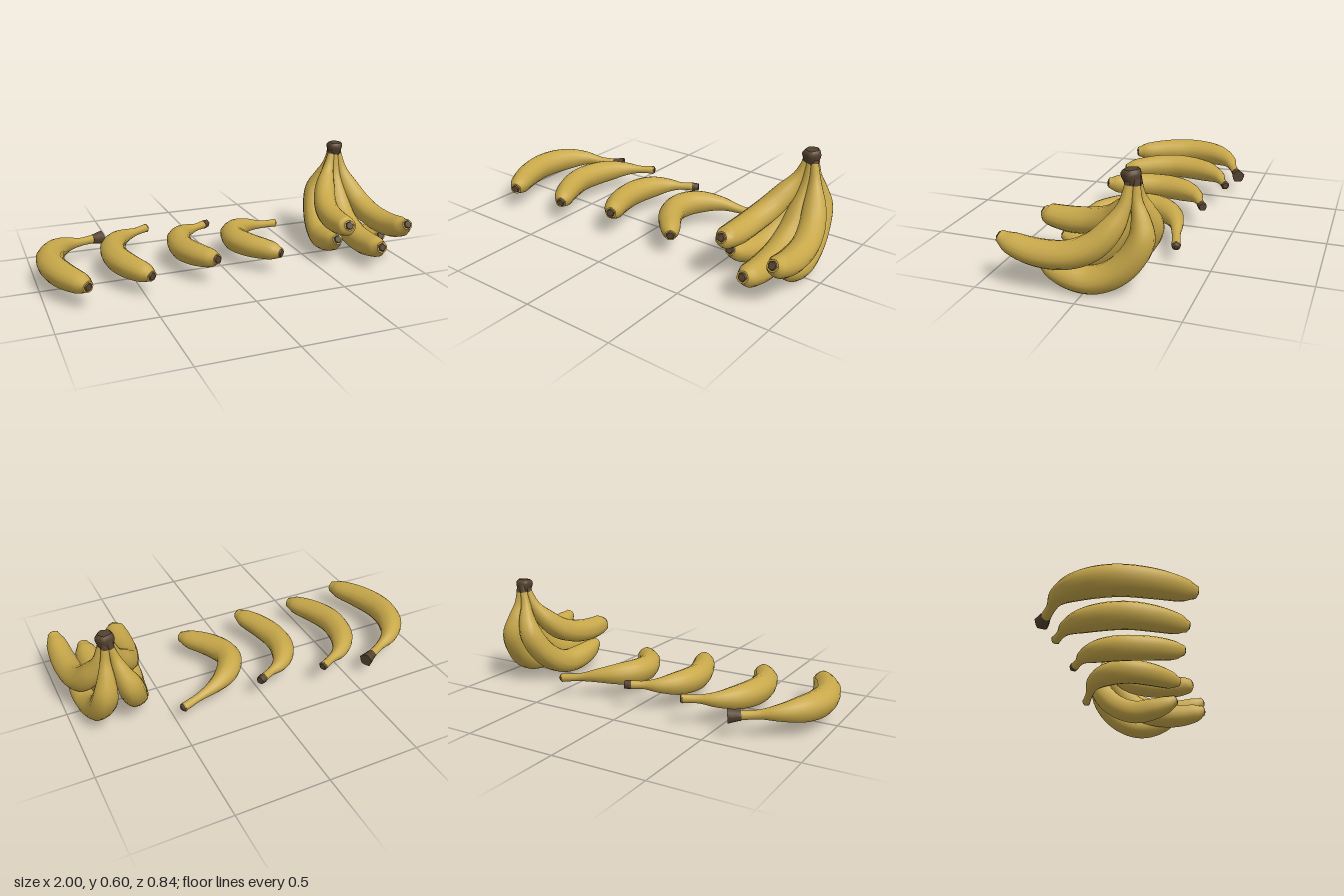
import * as THREE from 'three';

const peel = new THREE.MeshStandardMaterial({ color: 0xc8a84a });
peel.name = 'yellow peel';
const bark = new THREE.MeshStandardMaterial({ color: 0x55422f });
bark.name = 'dark brown';

const SIDES = 15;
const { lerp } = THREE.MathUtils;

// Closed tube through rows of [x, y, z, radius]; ref is the sideways direction of the section
function loft(rows, ref, steps, ridge) {
  const path = new THREE.CatmullRomCurve3(rows.map(r => new THREE.Vector3(r[0], r[1], r[2])));
  const radii = new THREE.SplineCurve(rows.map((r, i) => new THREE.Vector2(i, r[3])));
  const pos = [], index = [];
  const ring = (t) => {
    const c = path.getPoint(t), tan = path.getTangent(t), rad = radii.getPoint(t).y;
    const s = ref.clone().addScaledVector(tan, -ref.dot(tan)).normalize();
    const u = tan.clone().cross(s);
    for (let j = 0; j < SIDES; j++) {
      const a = (j / SIDES) * Math.PI * 2, r = rad * (1 + ridge * Math.cos(5 * a));
      const p = c.clone().addScaledVector(s, r * Math.cos(a)).addScaledVector(u, r * Math.sin(a));
      pos.push(p.x, p.y, p.z);
    }
    return c;
  };
  for (let i = 0; i <= steps; i++) ring(i / steps);
  for (let i = 0; i < steps; i++) {
    for (let j = 0; j < SIDES; j++) {
      const k = (j + 1) % SIDES, a = i * SIDES, b = a + SIDES;
      index.push(a + j, a + k, b + k, a + j, b + k, b + j);
    }
  }
  // Flat end caps with their own corners
  for (const end of [0, 1]) {
    const base = pos.length / 3, c = ring(end);
    pos.push(c.x, c.y, c.z);
    for (let j = 0; j < SIDES; j++) {
      const k = (j + 1) % SIDES;
      index.push(base + SIDES, base + (end ? j : k), base + (end ? k : j));
    }
  }
  const g = new THREE.BufferGeometry();
  g.setAttribute('position', new THREE.Float32BufferAttribute(pos, 3));
  g.setIndex(index);
  g.computeVertexNormals();
  return g;
}

function mesh(name, geometry, material) {
  const m = new THREE.Mesh(geometry, material);
  m.name = name;
  return m;
}

// Short dark piece continuing outward from row a, away from row b
function endPiece(a, b, length, start, end, ref) {
  const p = new THREE.Vector3(a[0], a[1], a[2]);
  const d = p.clone().sub(new THREE.Vector3(b[0], b[1], b[2])).normalize();
  const at = (s, r) => [...p.clone().addScaledVector(d, s), r];
  return loft([at(-0.006, start), at(length / 2, (start + end) / 2), at(length, end)], ref, 4, 0.08);
}

// Rows run from the blossom tip to the stem
function banana(name, rows, ref, stemLength, stemEnd) {
  const g = new THREE.Group();
  g.name = name;
  const last = rows[rows.length - 1], neck = rows[rows.length - 2];
  g.add(mesh('peel', loft(rows, ref, 36, 0.035), peel));
  g.add(mesh('blossomTip', endPiece(rows[0], rows[1], 0.007, 0.024, 0.018, ref), bark));
  g.add(mesh('stemEnd', endPiece(last, neck, stemLength, last[3] * 1.04, stemEnd, ref), bark));
  return g;
}

// Lying curve: x, z, share of stem height, relative radius
const LYING = [
  [0.12, 0.3, 0, 0.43], [0.096, 0.25, 0, 0.75], [0.037, 0.135, 0, 0.94], [0, 0, 0, 1], [0.01, -0.12, 0, 0.99],
  [0.052, -0.22, 0.05, 0.87], [0.12, -0.295, 0.25, 0.58], [0.2, -0.335, 0.7, 0.33], [0.28, -0.375, 1, 0.34]];

// Hanging curves: z, share of the drop, share of stem x, relative radius
const UPPER = [
  [0.387, 0.92, 0, 0.44], [0.332, 0.96, 0.01, 0.8], [0.2, 1, 0.03, 0.98], [0.05, 0.95, 0.11, 1],
  [-0.06, 0.81, 0.31, 0.98], [-0.135, 0.58, 0.56, 0.85], [-0.184, 0.3, 0.82, 0.5], [-0.202, 0, 1, 0.31]];
const LOWER = [
  [0.2, 0.85, 0, 0.43], [0.15, 0.91, 0.02, 0.75], [0.065, 0.97, 0.07, 0.96], [-0.03, 0.99, 0.17, 1],
  [-0.13, 0.91, 0.28, 1], [-0.213, 0.75, 0.43, 1], [-0.267, 0.53, 0.6, 0.93], [-0.26, 0.35, 0.77, 0.68],
  [-0.238, 0.17, 0.9, 0.4], [-0.232, 0, 1, 0.28]];

// Loose banana: curve stretched per fruit, tip and stem bent to their own heights
function lyingRows({ x, z, wide, front, back, radius, tipY, stemY }) {
  return LYING.map(([px, pz, stem, r], i) => [
    x + px * wide,
    lerp(lerp(0.135, tipY, Math.max(0, 1 - i * 0.35)), stemY, stem),
    z + pz * (pz > 0 ? front : back),
    r * radius]);
}

// Bunch banana: falls by drop from the crown and spreads out to tipX
function hangingRows(curve, { tipX, stemX, drop, radius, tipZ = 0, lift = 0 }) {
  return curve.map(([z, fall, share, r], i) => {
    const toTip = Math.max(0, 1 - i * 0.4);
    return [lerp(tipX, stemX, share), 0.53 - drop * fall + lift * toTip, z + tipZ * toTip, r * radius];
  });
}

export function createModel() {
  const model = new THREE.Group();
  const up = new THREE.Vector3(0, 1, 0), side = new THREE.Vector3(1, 0, 0);

  // Four loose bananas lying in a row
  const loose = [
    { x: -0.926, z: 0, wide: 1.02, front: 1.06, back: 1, radius: 0.071, tipY: 0.13, stemY: 0.113, stem: [0.06, 0.036] },
    { x: -0.59, z: 0, wide: 0.95, front: 0.94, back: 1.01, radius: 0.068, tipY: 0.122, stemY: 0.14, stem: [0.006, 0.016] },
    { x: -0.218, z: -0.01, wide: 0.82, front: 0.91, back: 0.84, radius: 0.067, tipY: 0.155, stemY: 0.137, stem: [0.03, 0.02] },
    { x: 0.1, z: -0.03, wide: 1.31, front: 0.87, back: 0.76, radius: 0.067, tipY: 0.125, stemY: 0.094, stem: [0.012, 0.009] },
  ];
  loose.forEach((b, i) => model.add(banana('looseBanana' + (i + 1), lyingRows(b), up, ...b.stem)));

  // Hanging bunch: upper row of three, lower row of two
  const bunch = new THREE.Group();
  bunch.name = 'bunch';
  const hang = (name, curve, shape) => bunch.add(banana(name, hangingRows(curve, shape), side, 0.04, 0.02));
  hang('upperRightBanana', UPPER, { tipX: 0.62, stemX: 0.778, drop: 0.29, radius: 0.065, tipZ: -0.073 });
  hang('upperMiddleBanana', UPPER, { tipX: 0.787, stemX: 0.8, drop: 0.422, radius: 0.07 });
  hang('upperLeftBanana', UPPER, { tipX: 0.938, stemX: 0.82, drop: 0.343, radius: 0.067, lift: 0.04 });
  hang('lowerRightBanana', LOWER, { tipX: 0.61, stemX: 0.786, drop: 0.445, radius: 0.068, tipZ: 0.015 });
  hang('lowerLeftBanana', LOWER, { tipX: 0.893, stemX: 0.812, drop: 0.466, radius: 0.067 });

  // Woody crown joining the stems
  const crown = loft([
    [0.8, 0.485, -0.213, 0.022], [0.8, 0.525, -0.211, 0.032], [0.801, 0.56, -0.208, 0.043],
    [0.801, 0.582, -0.206, 0.044], [0.801, 0.595, -0.205, 0.032]], side, 8, 0.1);
  bunch.add(mesh('crown', crown, bark));
  model.add(bunch);
  return model;
}
